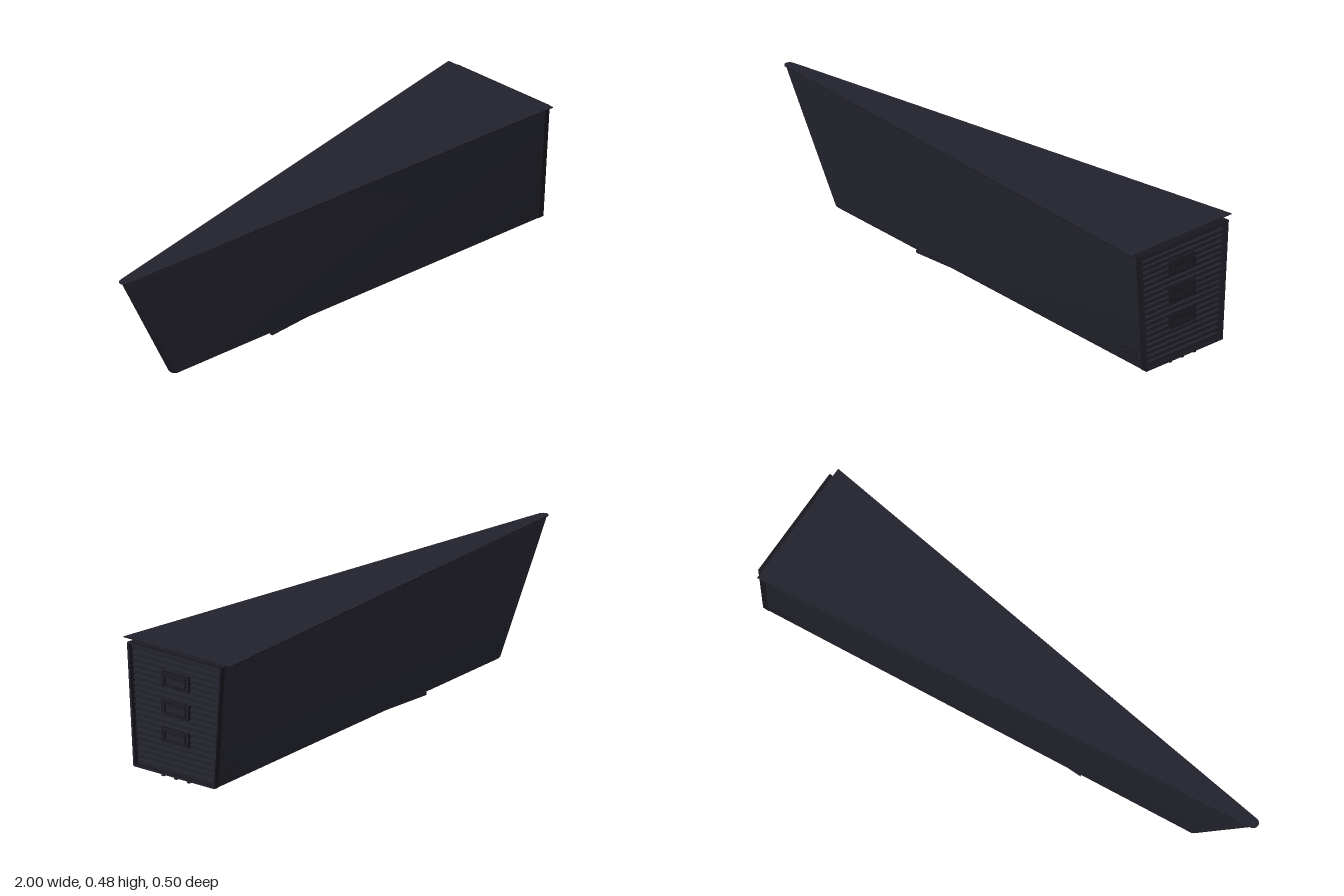
import * as THREE from 'three';
import { toCreasedNormals } from 'three/addons/utils/BufferGeometryUtils.js';

const shell = new THREE.MeshStandardMaterial({ color: 0x22222c });
shell.name = 'dark slate';
const trim = new THREE.MeshStandardMaterial({ color: 0x17171d });
trim.name = 'near black';

// Wedge plan outline: rear +z corner, round the nose, rear -z corner.
function outline(tipX, r, rearX, half) {
  const pts = [[rearX, half]];
  for (let i = 0; i <= 10; i++) {
    const a = Math.PI / 2 + (i / 10) * Math.PI;
    pts.push([tipX + r + Math.cos(a) * r, Math.sin(a) * r]);
  }
  pts.push([rearX, -half]);
  return pts;
}

// Closed solid through wedge outlines stacked from bottom to top.
function loft(rings) {
  const n = 13, pos = [], idx = [];
  for (const [y, ...o] of rings) for (const [x, z] of outline(...o)) pos.push(x, y, z);
  const top = (rings.length - 1) * n;
  for (let k = 0; k < top; k += n) {
    for (let i = 0; i < n; i++) {
      const a = k + i, b = k + (i + 1) % n;
      idx.push(a, a + n, b, b, a + n, b + n);
    }
  }
  for (let i = 1; i < n - 1; i++) {
    idx.push(0, i, i + 1, top, top + i + 1, top + i);
  }
  const g = new THREE.BufferGeometry();
  g.setAttribute('position', new THREE.Float32BufferAttribute(pos, 3));
  g.setIndex(idx);
  return toCreasedNormals(g, 0.5);
}

const poly = (pts) => new THREE.Shape(pts.map(([x, y]) => new THREE.Vector2(x, y)));
const extrude = (shape, depth) =>
  new THREE.ExtrudeGeometry(shape, { depth, bevelEnabled: false, curveSegments: 8 });

// Half width of the rear face at height y.
const rearHalf = (y) => 0.19 + (0.03 * (y - 0.015)) / 0.452;

// Rectangular ring in the zy plane, facing +x.
function frame(w, h, border, depth) {
  const rect = (a, b) => [[-a, -b], [a, -b], [a, b], [-a, b]];
  const s = poly(rect(w / 2, h / 2));
  s.holes.push(poly(rect(w / 2 - border, h / 2 - border)));
  return extrude(s, depth).rotateY(Math.PI / 2);
}

function capsule(len, r) {
  const s = new THREE.Shape();
  s.absarc(len / 2 - r, 0, r, -Math.PI / 2, Math.PI / 2);
  s.absarc(-len / 2 + r, 0, r, Math.PI / 2, Math.PI * 1.5);
  return s;
}

export function createModel() {
  const model = new THREE.Group();
  const add = (name, geo, mat, x = 0, y = 0, z = 0, parent = model) => {
    const m = new THREE.Mesh(geo, mat);
    m.name = name;
    m.position.set(x, y, z);
    parent.add(m);
    return m;
  };

  // Main wedge body with raking nose
  add('body', loft([
    [0.010, -0.735, 0.016, 0.976, 0.187],
    [0.016, -0.742, 0.020, 0.976, 0.190],
    [0.467, -0.988, 0.019, 0.976, 0.219],
  ]), shell);

  // Neck under the lid, stopping short of the rear
  add('neck', loft([
    [0.466, -0.988, 0.017, 0.83, 0.197],
    [0.474, -0.992, 0.017, 0.83, 0.197],
  ]), shell);

  // Thin overhanging lid
  const lid = poly(outline(-1, 0.02, 0.983, 0.25));
  add('lid', extrude(lid, 0.003).rotateX(-Math.PI / 2), [shell, trim], 0, 0.474, 0);

  // Rim round the rear face
  const trapezoid = (lo, hi, inset) => {
    const a = rearHalf(lo) - inset, b = rearHalf(hi) - inset;
    return poly([[-a, lo], [a, lo], [b, hi], [-b, hi]]);
  };
  const rim = trapezoid(0.010, 0.467, 0);
  rim.holes.push(trapezoid(0.016, 0.461, 0.008));
  add('rearRim', extrude(rim, 0.024).rotateY(Math.PI / 2), [shell, trim], 0.975);

  // Horizontal ribs across the rear face
  const ribs = new THREE.Group();
  ribs.name = 'rearRibs';
  model.add(ribs);
  for (let i = 0; i < 20; i++) {
    const y = 0.028 + i * 0.0221, b = rearHalf(y) - 0.011;
    const profile = poly([[0, -0.009], [0.011, -0.006], [0.011, 0.006], [0, 0.009]]);
    add('rib', extrude(profile, 2 * b), shell, 0.975, y, -b, ribs);
  }

  // Three framed latches with studs
  for (const y of [0.158, 0.262, 0.365]) {
    const latch = new THREE.Group();
    latch.name = 'latch';
    latch.position.set(0.98, y, 0);
    model.add(latch);
    add('latchPlate', new THREE.BoxGeometry(0.018, 0.053, 0.126), shell, 0, 0, 0, latch);
    add('latchOuterEdge', frame(0.128, 0.055, 0.003, 0.012), trim, 0, 0, 0, latch);
    add('latchInnerFrame', frame(0.098, 0.039, 0.003, 0.015), trim, 0, 0, 0, latch);
    add('latchBar', new THREE.BoxGeometry(0.008, 0.004, 0.092), trim, 0.008, 0.008, 0, latch);
    for (const z of [-0.056, 0.056]) {
      for (const dy of [-0.018, -0.006, 0.006, 0.018]) {
        const stud = new THREE.CylinderGeometry(0.002, 0.002, 0.006, 8).rotateZ(Math.PI / 2);
        add('stud', stud, trim, 0.009, dy, z, latch);
      }
    }
  }

  // Runners beneath the body
  for (const z of [-0.06, 0, 0.06]) {
    const profile = poly([[-0.008, 0.012], [-0.005, 0], [0.005, 0], [0.008, 0.012]]);
    add('runner', extrude(profile, 1.27).rotateY(Math.PI / 2), shell, -0.28, 0, z);
  }

  // Small slot frames low on both sides near the rear
  for (const s of [1, -1]) {
    const u = new THREE.Vector3(s, 0, 0.1).normalize();
    const n = u.clone().cross(new THREE.Vector3(0, 1, 0.066 * s)).normalize();
    const v = n.clone().cross(u);
    const ring = capsule(0.084, 0.011);
    ring.holes.push(capsule(0.078, 0.008));
    const slot = add('sideSlot', extrude(ring, 0.004), trim, 0.91, 0.062, s * 0.1865);
    slot.quaternion.setFromRotationMatrix(new THREE.Matrix4().makeBasis(u, v, n));
  }

  return model;
}
